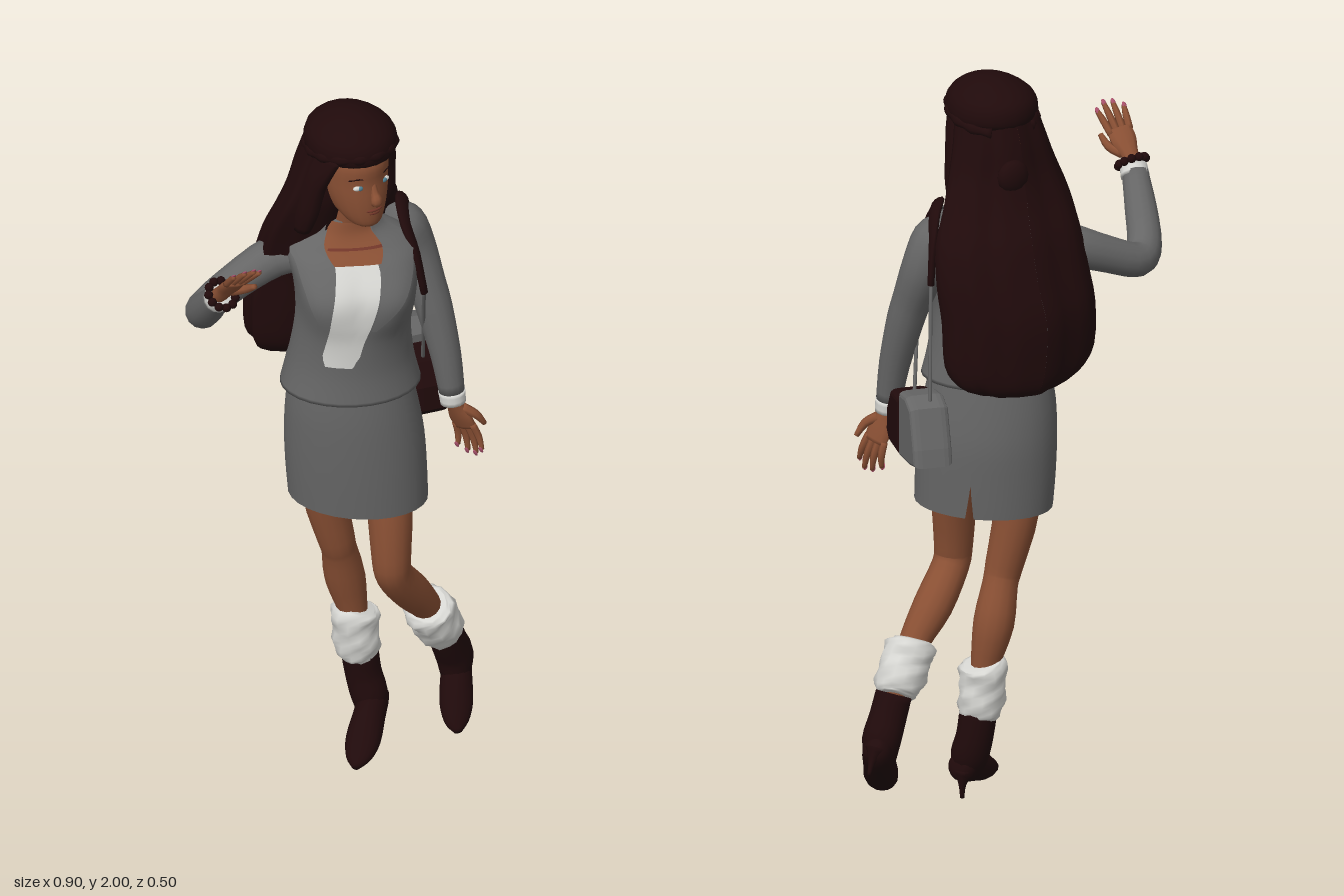
import * as THREE from 'three';
import { mergeVertices } from 'three/addons/utils/BufferGeometryUtils.js';

const mat = (name, color) => new THREE.MeshStandardMaterial({ name, color, side: THREE.DoubleSide });
const M = {
  skin: mat('skin', 0x8a5034), dark: mat('darkBrown', 0x200a0b), grey: mat('greyCloth', 0x666666),
  white: mat('whiteKnit', 0xd6d6d2), blue: mat('blueLining', 0x143a8c), lips: mat('lips', 0x74372a),
  iris: mat('iris', 0x4f8296), nail: mat('nails', 0xa8506a),
};
const V = (x, y, z) => new THREE.Vector3(x, y, z);

// Smoothly resamples a list of cross-sections [x, y, z, rx, rz]
function resample(rings, sub) {
  const out = [], n = rings.length;
  for (let i = 0; i < n - 1; i++) {
    for (let k = 0; k < sub || (i === n - 2 && k === sub); k++) {
      const t = k / sub, g = (j) => rings[Math.min(n - 1, Math.max(0, j))];
      out.push([0, 1, 2, 3, 4].map((c) => {
        const [a, b, d, e] = [i - 1, i, i + 1, i + 2].map((j) => g(j)[c] ?? g(j)[3]);
        return 0.5 * (2 * b + (d - a) * t + (2 * a - 5 * b + 4 * d - e) * t * t + (3 * b - a - 3 * d + e) * t ** 3);
      }));
    }
  }
  return out;
}

// Skins elliptical sections: level ones turned by yaw, or ones square to the path
function loft(name, rings, material, o = {}) {
  const { segs = 14, sub = 3, yaw = null, ref = V(0, 0, 1), off = 0, bump, span, range, caps = !span } = o;
  let rows = resample(rings, sub);
  if (range) rows = rows.filter((r) => r[1] >= range[0] && r[1] <= range[1]);
  const pos = [], idx = [], w = segs + 1, n = rows.length;
  rows.forEach((r, i) => {
    const c = V(r[0], r[1], r[2]);
    let F, S;
    if (yaw !== null) {
      F = V(Math.sin(yaw), 0, Math.cos(yaw));
      S = V(Math.cos(yaw), 0, -Math.sin(yaw));
    } else {
      const p = rows[Math.max(0, i - 1)], q = rows[Math.min(n - 1, i + 1)];
      const T = V(q[0] - p[0], q[1] - p[1], q[2] - p[2]).normalize();
      F = ref.clone().addScaledVector(T, -ref.dot(T)).normalize();
      S = T.clone().cross(F);
    }
    const [t0, t1] = span ? span(r[1]) : [-Math.PI, Math.PI];
    for (let k = 0; k <= segs; k++) {
      const t = t0 + ((t1 - t0) * k) / segs, b = bump ? bump(t, r[1], i) : 1;
      const v = c.clone().addScaledVector(S, Math.sin(t) * (Math.max(r[3], 0.001) * b + off))
        .addScaledVector(F, Math.cos(t) * (Math.max(r[4], 0.001) * b + off));
      pos.push(v.x, v.y, v.z);
      if (i && k) {
        const d = i * w + k, a = d - w - 1, e = d - w, f = d - 1;
        idx.push(a, e, d, a, d, f);
      }
    }
  });
  if (caps) [0, n - 1].forEach((i) => {
    const m = pos.length / 3;
    pos.push(rows[i][0], rows[i][1], rows[i][2]);
    for (let k = 0; k < segs; k++) idx.push(m, i * w + k + (i ? 0 : 1), i * w + k + (i ? 1 : 0));
  });
  let g = new THREE.BufferGeometry();
  g.setAttribute('position', new THREE.Float32BufferAttribute(pos, 3));
  g.setIndex(idx);
  g = mergeVertices(g, 1e-5);
  g.computeVertexNormals();
  const mesh = new THREE.Mesh(g, material);
  mesh.name = name;
  return mesh;
}

function blob(name, material, p, s) {
  const m = new THREE.Mesh(new THREE.SphereGeometry(1, 12, 8), material);
  m.name = name;
  m.position.set(...p);
  m.scale.set(...s);
  return m;
}

// Hand built along local +y, thumb on local +x
function hand(name, wrist, dir, across, curl) {
  const g = new THREE.Group();
  g.name = name;
  g.add(loft('palm', [[0, -0.03, 0, 0.022, 0.021], [0, 0.01, 0, 0.024, 0.019], [0, 0.05, 0, 0.035, 0.016], [0, 0.085, 0, 0.034, 0.012]], M.skin, { segs: 10 }));
  for (let i = 0; i < 4; i++) {
    const x = 0.026 - i * 0.0175, L = [0.072, 0.088, 0.082, 0.064][i];
    const tip = [x * 1.4, 0.078 + L, curl * 0.03];
    g.add(loft('finger', [[x, 0.075, 0, 0.01], [x * 1.2, 0.08 + L * 0.5, curl * 0.006, 0.0095], [...tip, 0.006]], M.skin, { segs: 6 }));
    g.add(blob('nail', M.nail, [tip[0], tip[1] - 0.003, tip[2] - 0.004], [0.006, 0.01, 0.003]));
  }
  g.add(loft('thumb', [[0.015, 0.02, 0.005, 0.015], [0.04, 0.05, 0.014, 0.012], [0.046, 0.09, 0.022, 0.007]], M.skin, { segs: 7 }));
  const Y = V(...dir).normalize(), X = V(...across);
  X.addScaledVector(Y, -X.dot(Y)).normalize();
  g.quaternion.setFromRotationMatrix(new THREE.Matrix4().makeBasis(X, Y, X.clone().cross(Y)));
  g.position.set(...wrist);
  return g;
}

export function createModel() {
  const root = new THREE.Group();
  root.name = 'wavingWoman';
  const add = (...m) => root.add(...m);

  // Jacket, with shirt, neckline and lapels lying on its surface
  const torso = [[0.05, 1.165, 0.045, 0.184, 0.143], [0.05, 1.25, 0.045, 0.165, 0.134], [0.05, 1.35, 0.054, 0.153, 0.128],
    [0.055, 1.42, 0.06, 0.156, 0.13], [0.055, 1.5, 0.06, 0.163, 0.124], [0.055, 1.57, 0.042, 0.172, 0.106],
    [0.055, 1.61, 0.027, 0.148, 0.088], [0.05, 1.645, 0.022, 0.09, 0.072], [0.05, 1.68, 0.027, 0.062, 0.062]];
  const bust = (t, y) => 1 + 0.21 * Math.exp(-(((Math.abs(t) - 0.55) / 0.45) ** 2) - ((y - 1.48) / 0.095) ** 2);
  const mid = (y) => -0.27 + 0.3 * Math.min(1, Math.max(0, (y - 1.3) / 0.26));
  const body = { yaw: -0.5, bump: bust, sub: 6 };
  add(loft('jacket', torso, M.grey, { ...body, segs: 28 }));
  add(loft('shirt', torso, M.white, { ...body, segs: 8, off: 0.005, range: [1.28, 1.585],
    span: (y) => { const h = 0.31 * Math.min(1, 0.7 + (y - 1.28) * 8); return [mid(y) - h, mid(y) + h]; } }));
  add(loft('neckline', torso, M.skin, { ...body, segs: 10, off: 0.005, range: [1.575, 1.69],
    span: (y) => { const h = 0.32 + (y - 1.575) * 5; return [0.05 - h, 0.05 + h]; } }));
  add(loft('necklace', torso, M.lips, { ...body, segs: 10, off: 0.008, range: [1.607, 1.617], span: () => [-0.4, 0.6] }));
  for (const s of [-1, 1]) {
    add(loft('lapel', torso, M.grey, { ...body, segs: 5, off: 0.014, range: [1.4, 1.675],
      span: (y) => {
        const a = mid(y) + s * (0.31 + Math.max(0, y - 1.575) * 5);
        const b = a + s * (y < 1.59 ? 0.05 + (y - 1.4) * 3.2 : 0.75);
        return s > 0 ? [a, b] : [b, a];
      } }));
  }

  // Skirt, slit at the back
  add(loft('skirt', [[0.072, 0.803, 0.048, 0.184, 0.132], [0.068, 0.9, 0.045, 0.186, 0.138], [0.064, 1.0, 0.042, 0.184, 0.142],
    [0.057, 1.1, 0.042, 0.174, 0.138], [0.053, 1.2, 0.043, 0.155, 0.128]], M.grey, { yaw: -0.78, segs: 28,
    span: (y) => { const g = y < 0.87 ? 0.015 + (0.87 - y) * 0.7 : 0; return [-Math.PI + g, Math.PI - g]; } }));
  add(blob('underwear', M.blue, [0.065, 0.9, 0.05], [0.05, 0.095, 0.06]));

  // Legs
  add(loft('rightLeg', [[0.015, 0.95, -0.005, 0.065], [0.012, 0.8, -0.022, 0.061], [0.045, 0.64, -0.015, 0.05], [0.06, 0.59, -0.02, 0.047],
    [0.087, 0.49, -0.035, 0.054], [0.11, 0.37, -0.03, 0.038], [0.12, 0.24, -0.03, 0.032]], M.skin));
  add(loft('leftLeg', [[0.115, 0.95, 0.09, 0.065], [0.112, 0.8, 0.134, 0.061], [0.102, 0.65, 0.158, 0.052], [0.112, 0.59, 0.155, 0.049],
    [0.18, 0.5, 0.125, 0.052], [0.25, 0.41, 0.105, 0.04], [0.32, 0.29, 0.07, 0.032]], M.skin));

  // Crumpled leg warmers
  const crumple = (t, y, i) => 1 + 0.05 * Math.sin(3 * t + i * 0.9) + 0.04 * Math.sin(5 * t - i * 1.7);
  add(loft('rightLegWarmer', [[0.118, 0.388, -0.03, 0.05], [0.115, 0.372, -0.03, 0.064], [0.117, 0.33, -0.03, 0.06], [0.12, 0.29, -0.03, 0.062],
    [0.125, 0.25, -0.03, 0.056], [0.127, 0.235, -0.03, 0.046]], M.white, { bump: crumple }));
  add(loft('leftLegWarmer', [[0.246, 0.42, 0.11, 0.05], [0.254, 0.405, 0.105, 0.066], [0.272, 0.375, 0.1, 0.064], [0.292, 0.34, 0.09, 0.066],
    [0.312, 0.305, 0.08, 0.058], [0.322, 0.29, 0.072, 0.045]], M.white, { bump: crumple }));

  // High-heeled boots
  const up = V(0, 1, 0);
  add(loft('rightBootShaft', [[0.128, 0.26, -0.03, 0.05], [0.138, 0.18, -0.026, 0.049], [0.145, 0.12, -0.01, 0.05], [0.14, 0.075, 0.005, 0.038]], M.dark));
  add(loft('rightBootFoot', [[0.188, 0.105, -0.035, 0.014], [0.174, 0.1, -0.024, 0.038, 0.04], [0.12, 0.078, 0.03, 0.042, 0.048],
    [0.07, 0.044, 0.075, 0.046, 0.037], [0.03, 0.024, 0.112, 0.034, 0.021], [0.006, 0.014, 0.134, 0.01]], M.dark, { ref: up }));
  add(loft('rightHeel', [[0.172, 0.09, -0.028, 0.026], [0.178, 0.05, -0.032, 0.01], [0.177, 0.015, -0.03, 0.006]], M.dark, { segs: 8 }));
  add(loft('leftBootShaft', [[0.325, 0.3, 0.07, 0.048], [0.35, 0.24, 0.058, 0.049], [0.375, 0.185, 0.046, 0.051], [0.375, 0.125, 0.052, 0.04]], M.dark));
  add(loft('leftBootFoot', [[0.418, 0.2, 0.005, 0.016], [0.404, 0.178, 0.016, 0.038, 0.04], [0.376, 0.125, 0.055, 0.042, 0.046],
    [0.35, 0.068, 0.093, 0.045, 0.037], [0.33, 0.03, 0.124, 0.032, 0.022], [0.321, 0.012, 0.144, 0.01]], M.dark, { ref: up }));
  add(loft('leftHeel', [[0.412, 0.185, 0.008, 0.028], [0.43, 0.155, -0.004, 0.01], [0.442, 0.125, -0.012, 0.005]], M.dark, { segs: 8 }));

  // Arms: right one waving, left one hanging
  add(loft('rightSleeve', [[-0.04, 1.55, -0.03, 0.055], [-0.11, 1.535, -0.075, 0.056], [-0.22, 1.49, -0.09, 0.049], [-0.31, 1.455, -0.085, 0.046],
    [-0.355, 1.475, -0.04, 0.046], [-0.382, 1.54, 0.03, 0.043], [-0.402, 1.615, 0.1, 0.035]], M.grey, { ref: V(0.3, 1, -0.4) }));
  add(loft('rightCuff', [[-0.4, 1.605, 0.095, 0.038], [-0.405, 1.627, 0.115, 0.036]], M.white));
  add(loft('leftSleeve', [[0.19, 1.605, 0.04, 0.038], [0.222, 1.58, 0.035, 0.058], [0.25, 1.5, 0.043, 0.059], [0.266, 1.4, 0.078, 0.052], [0.276, 1.33, 0.1, 0.049],
    [0.288, 1.2, 0.135, 0.041], [0.294, 1.09, 0.155, 0.034]], M.grey));
  add(loft('leftCuff', [[0.294, 1.095, 0.154, 0.036], [0.296, 1.06, 0.158, 0.034]], M.white));
  add(hand('rightHand', [-0.405, 1.645, 0.127], [0.01, 0.13, 0.12], [0.9, 0.1, 0.3], 0.1));
  add(hand('leftHand', [0.298, 1.055, 0.16], [0.06, -0.15, 0.01], [0.45, 0, 0.9], -0.6));
  for (let i = 0; i < 11; i++) {
    const a = (i / 11) * Math.PI * 2;
    add(blob('braceletBead', M.dark, [-0.405 + 0.037 * Math.cos(a), 1.635 + 0.024 * Math.sin(a), 0.122 - 0.03 * Math.sin(a)], [0.012, 0.012, 0.012]));
  }

  // Neck
  add(loft('neck', [[0.045, 1.62, 0.035, 0.06], [0.045, 1.66, 0.045, 0.046], [0.045, 1.75, 0.06, 0.047]], M.skin));

  // Head and face
  const X = 0.043;
  add(loft('head', [[X, 1.697, 0.13, 0.016, 0.016], [X, 1.708, 0.122, 0.04, 0.043], [X, 1.74, 0.097, 0.064, 0.074], [X, 1.79, 0.075, 0.081, 0.097],
    [X, 1.84, 0.066, 0.088, 0.102], [X, 1.89, 0.062, 0.088, 0.108], [X, 1.94, 0.055, 0.07, 0.09]], M.skin, { yaw: 0, segs: 20 }));
  add(loft('nose', [[X, 1.838, 0.158, 0.009], [X, 1.81, 0.168, 0.011], [X, 1.79, 0.178, 0.016], [X, 1.779, 0.168, 0.012]], M.skin, { segs: 8 }));
  add(blob('upperLip', M.lips, [X, 1.758, 0.164], [0.026, 0.006, 0.011]), blob('lowerLip', M.lips, [X, 1.748, 0.161], [0.022, 0.007, 0.012]));
  for (const s of [-1, 1]) {
    add(blob('eye', M.white, [X + s * 0.038, 1.831, 0.152], [0.018, 0.008, 0.009]));
    add(blob('iris', M.iris, [X + s * 0.037, 1.831, 0.158], [0.008, 0.007, 0.005]));
    add(loft('eyebrow', [[X + s * 0.018, 1.853, 0.163, 0.002], [X + s * 0.04, 1.859, 0.156, 0.003], [X + s * 0.062, 1.852, 0.139, 0.002]], M.dark, { segs: 6, ref: up }));
  }

  // Hair: crown, braided band, long mass down the back, side locks and gathered knot
  add(loft('hairCrown', [[0.05, 1.887, 0.045, 0.1, 0.115], [0.05, 1.905, 0.046, 0.118, 0.13], [0.05, 1.945, 0.046, 0.112, 0.126],
    [0.052, 1.975, 0.046, 0.08, 0.094], [0.053, 1.995, 0.046, 0.036, 0.042], [0.053, 1.999, 0.046, 0.005, 0.005]], M.dark, { yaw: 0, segs: 22 }));
  const waves = (t, y) => 1 + 0.035 * Math.cos(7 * (t - Math.PI) + (y - 1.4) * 2) + 0.02 * Math.sin(12 * t) - 0.12 * Math.exp(-(((t - 2.25) / 0.45) ** 2));
  add(loft('hairBack', [[0.075, 1.2, -0.145, 0.12, 0.08], [0.068, 1.225, -0.14, 0.175, 0.1], [0.06, 1.28, -0.128, 0.212, 0.12], [0.058, 1.4, -0.122, 0.217, 0.129],
    [0.066, 1.5, -0.106, 0.217, 0.117], [0.064, 1.6, -0.078, 0.208, 0.108], [0.05, 1.68, -0.044, 0.182, 0.095], [0.044, 1.76, -0.013, 0.152, 0.094],
    [0.046, 1.84, 0.001, 0.128, 0.094], [0.05, 1.92, 0.02, 0.108, 0.092]], M.dark, { yaw: 0.08, segs: 44, bump: waves }));
  for (const s of [-1, 1]) {
    add(loft('sideLock', [[X + s * 0.125, 1.66, 0.015, 0.02, 0.03], [X + s * 0.12, 1.72, 0.03, 0.027, 0.04], [X + s * 0.11, 1.8, 0.045, 0.027, 0.042],
      [X + s * 0.097, 1.86, 0.062, 0.024, 0.05], [X + s * 0.08, 1.91, 0.082, 0.02, 0.05]], M.dark, { yaw: 0, segs: 10 }));
  }
  const braid = [];
  for (let i = 0; i <= 24; i++) {
    const a = -2.6 + (i / 24) * 5.2;
    braid.push([0.05 + 0.108 * Math.sin(a), 1.903 + 0.02 * Math.cos(a), 0.044 + 0.121 * Math.cos(a), i % 2 ? 0.012 : 0.017]);
  }
  add(loft('hairBraid', braid, M.dark, { segs: 8, sub: 2, ref: up }));
  add(blob('hairKnot', M.dark, [0.065, 1.77, -0.1], [0.045, 0.045, 0.024]));

  // Shoulder bag with strap and chains
  const bag = new THREE.Group();
  bag.name = 'shoulderBag';
  const panel = (name, pts, material) => {
    const shape = new THREE.Shape(pts.map((p) => new THREE.Vector2(...p)));
    const m = new THREE.Mesh(new THREE.ExtrudeGeometry(shape, { depth: 0.06, bevelEnabled: true, bevelSize: 0.012, bevelThickness: 0.022, bevelSegments: 3 }), material);
    m.name = name;
    bag.add(m);
  };
  panel('bagFront', [[0, 0.02], [0.02, 0], [0.105, 0], [0.105, 0.135], [0.035, 0.13], [0.005, 0.08]], M.dark);
  panel('bagBack', [[0.125, 0], [0.22, 0.012], [0.268, 0.025], [0.26, 0.06], [0.225, 0.155], [0.18, 0.17], [0.125, 0.16]], M.grey);
  bag.position.set(0.24, 1.01, 0.1);
  bag.rotation.y = 1.34;
  add(bag);
  add(loft('strap', [[0.192, 1.45, 0.178, 0.014, 0.01], [0.18, 1.56, 0.158, 0.018, 0.011], [0.178, 1.63, 0.112, 0.02, 0.011], [0.2, 1.66, 0.062, 0.021, 0.011],
    [0.232, 1.645, 0.02, 0.021, 0.011], [0.258, 1.58, -0.018, 0.018, 0.01], [0.272, 1.48, -0.035, 0.014, 0.009]], M.dark, { segs: 10, ref: V(0.4, 0.6, 0.3) }));
  add(loft('rearChain', [[0.272, 1.48, -0.035, 0.005], [0.29, 1.34, -0.065, 0.005], [0.31, 1.16, -0.1, 0.005]], M.grey, { segs: 6 }));
  add(loft('frontChain', [[0.192, 1.45, 0.178, 0.005], [0.222, 1.35, 0.13, 0.005], [0.275, 1.14, 0.05, 0.005]], M.grey, { segs: 6 }));
  return root;
}
